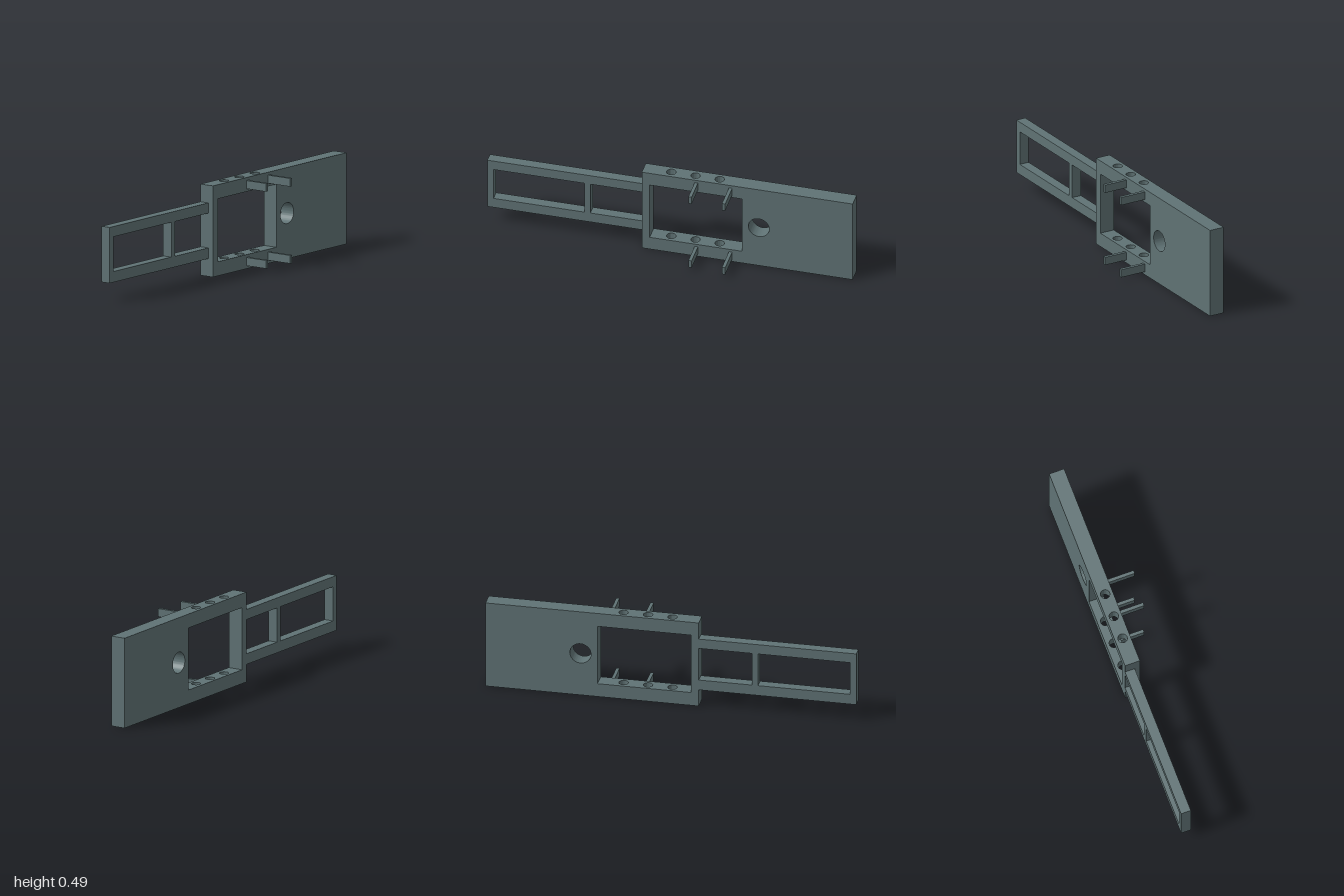
import * as THREE from 'three';
import { toCreasedNormals } from 'three/addons/utils/BufferGeometryUtils.js';

const BACK = -0.115, FRONT = -0.031, TOP = 0.491;
const WINDOW = { left: -0.107, right: 0.396, bottom: 0.076, top: 0.415 };

export function createModel() {
  const group = new THREE.Group();
  const slate = new THREE.MeshStandardMaterial({ color: 0x5f7274 });
  slate.name = 'slate grey';

  const add = (name, geometry) => {
    const mesh = new THREE.Mesh(geometry, slate);
    mesh.name = name;
    group.add(mesh);
  };
  const polygon = (...points) => new THREE.Shape(points.map(([x, y]) => new THREE.Vector2(x, y)));
  const rect = (x0, y0, x1, y1) => polygon([x0, y0], [x1, y0], [x1, y1], [x0, y1]);
  const circle = (x, y, r) => new THREE.Path().absarc(x, y, r, 0, Math.PI * 2, true);
  const extrude = (shape, depth) => toCreasedNormals(
    new THREE.ExtrudeGeometry(shape, { depth, bevelEnabled: false, curveSegments: 32 }), 0.6);
  const box = (x0, y0, z0, x1, y1, z1) => new THREE.BoxGeometry(x1 - x0, y1 - y0, z1 - z0)
    .translate((x0 + x1) / 2, (y0 + y1) / 2, (z0 + z1) / 2);

  // Solid plate with a round through hole
  const plate = rect(WINDOW.right, 0, 1, TOP);
  plate.holes.push(circle(0.488, TOP / 2, 0.057));
  add('mainPlate', extrude(plate, FRONT - BACK).translate(0, 0, BACK));

  // Post closing the window on the arm side
  add('windowPost', box(-0.15, 0, BACK, WINDOW.left, TOP, FRONT));

  // Rails above and below the window, drilled vertically
  for (const [name, y0, y1] of [['lowerRail', 0, WINDOW.bottom], ['upperRail', WINDOW.top, TOP]]) {
    const rail = rect(WINDOW.left, -FRONT, WINDOW.right, -BACK);
    for (const x of [0, 0.132, 0.264]) rail.holes.push(circle(x, 0.073, 0.025));
    add(name, extrude(rail, y1 - y0).rotateX(-Math.PI / 2).translate(0, y0, 0));
  }

  // Thinner ladder arm, open where it meets the post
  const arm = polygon([-1, 0.096], [-0.15, 0.096], [-0.15, 0.154], [-0.438, 0.154],
    [-0.438, 0.341], [-0.15, 0.341], [-0.15, 0.396], [-1, 0.396]);
  arm.holes.push(rect(-0.966, 0.154, -0.47, 0.341));
  add('ladderArm', extrude(arm, 0.055).translate(0, 0, BACK));

  // Flat pegs standing out from both rails
  for (const [x, tip] of [[0.147, 0.1], [0.334, 0.116]])
    for (const y of [0.017, 0.431])
      add('peg', box(x - 0.009, y, FRONT, x + 0.009, y + 0.044, tip));

  return group;
}
